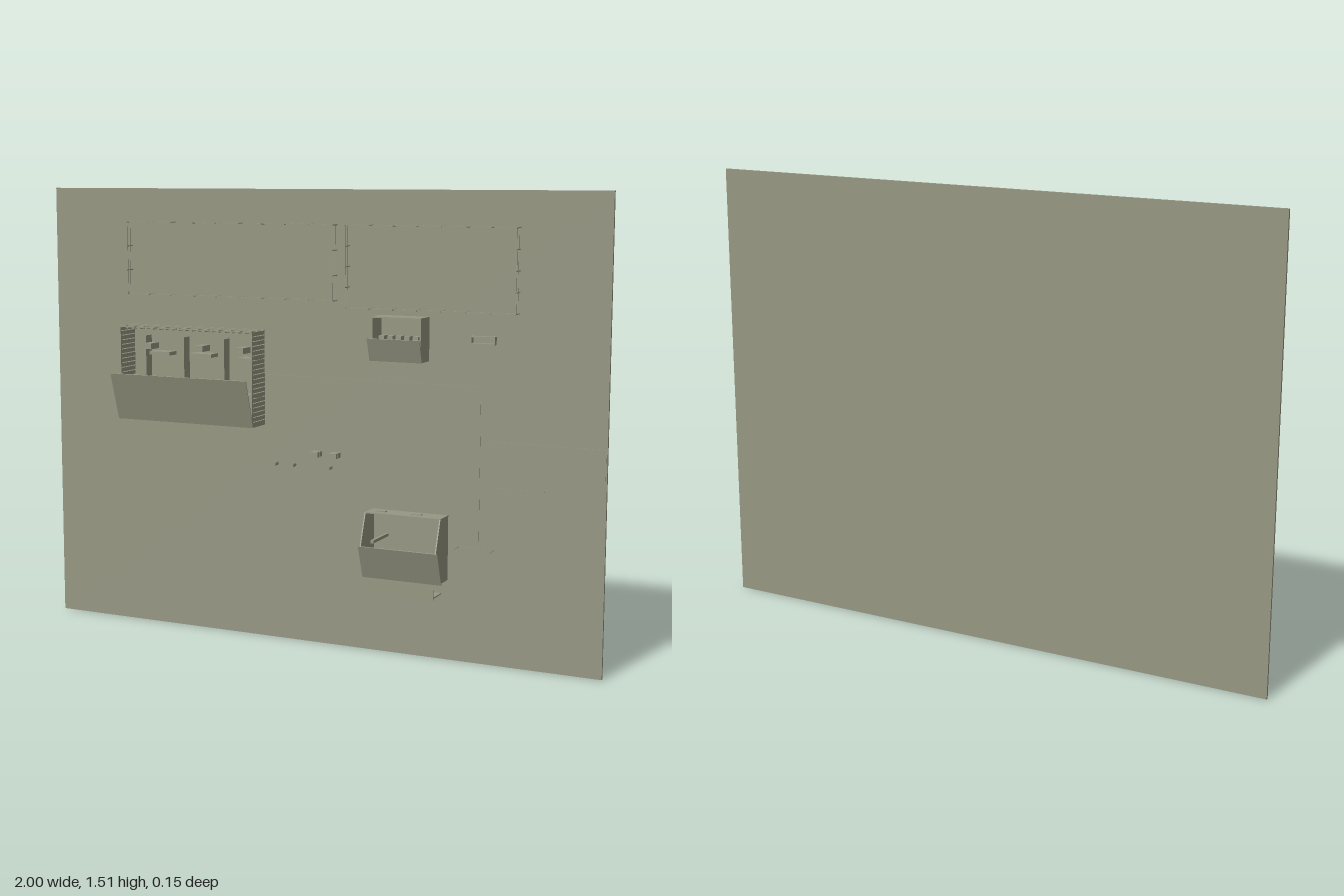
import * as THREE from 'three';

const BACK = -0.068; // front surface of the backing board

export function createModel() {
  const model = new THREE.Group();
  const mat = new THREE.MeshStandardMaterial({ color: 0x969782 });
  mat.name = 'olive grey';

  const group = (name) => {
    const g = new THREE.Group();
    g.name = name;
    model.add(g);
    return g;
  };
  const add = (parent, name, geometry) => {
    const m = new THREE.Mesh(geometry, mat);
    m.name = name;
    parent.add(m);
    return m;
  };
  // box given by its limits
  const box = (parent, name, x0, x1, y0, y1, z0, z1) => {
    const m = add(parent, name, new THREE.BoxGeometry(x1 - x0, y1 - y0, z1 - z0));
    m.position.set((x0 + x1) / 2, (y0 + y1) / 2, (z0 + z1) / 2);
    return m;
  };
  // flat door tilted forward from its lower edge
  const flap = (parent, x0, x1, y0, z0, y1, z1) => {
    const m = add(parent, 'openFlap',
      new THREE.BoxGeometry(x1 - x0, Math.hypot(y1 - y0, z1 - z0), 0.003));
    m.position.set((x0 + x1) / 2, (y0 + y1) / 2, (z0 + z1) / 2);
    m.rotation.x = Math.atan2(z1 - z0, y1 - y0);
  };
  // round peg standing out from the board
  const peg = (parent, name, x, y, z0, z1, r, sides = 8) => {
    const g = new THREE.CylinderGeometry(r, r, z1 - z0, sides).rotateX(Math.PI / 2);
    add(parent, name, g).position.set(x, y, (z0 + z1) / 2);
  };

  // backing board
  box(model, 'backingBoard', -1, 1, 0, 1.515, -0.077, BACK);

  // two wire loops carried on insulator pins
  const wireLoop = (name, x0, x1, y0, y1, nx, ny) => {
    const g = group(name);
    const t = 0.0012;
    for (const z of [-0.035, -0.051]) {
      for (const y of [y0, y1]) box(g, 'wire', x0, x1, y - t, y + t, z - t, z + t);
      for (const x of [x0, x1]) box(g, 'wire', x - t, x + t, y0, y1, z - t, z + t);
    }
    for (let i = 0; i <= nx; i++) {
      const x = x0 + (x1 - x0) * i / nx;
      for (const y of [y0, y1]) peg(g, 'pin', x, y, BACK, -0.029, 0.0025, 6);
    }
    for (let i = 1; i < ny; i++) {
      const y = y0 + (y1 - y0) * i / ny;
      for (const x of [x0, x1]) peg(g, 'pin', x, y, BACK, -0.029, 0.0025, 6);
    }
  };
  wireLoop('leftWireLoop', -0.69, 0.085, 1.157, 1.402, 9, 3);
  wireLoop('rightWireLoop', 0.13, 0.708, 1.136, 1.402, 7, 4);

  // large cabinet: slatted sides, barred top, open flap
  const big = group('largeCabinet');
  box(big, 'floor', -0.69, -0.18, 0.73, 0.734, BACK, 0.024);
  for (const x of [-0.69, -0.184]) {
    for (let i = 0; i < 20; i++) {
      const y = 0.734 + i * 0.0158;
      box(big, 'sideSlat', x, x + 0.004, y, y + 0.013, BACK, 0.024);
    }
    box(big, 'cornerPost', x, x + 0.004, 0.73, 1.05, 0.018, 0.024);
  }
  for (let i = 0; i <= 20; i++) {
    const x = -0.69 + i * 0.0252;
    box(big, 'topBar', x, x + 0.006, 1.042, 1.046, BACK, 0.022);
  }
  for (const z of [BACK, -0.03, 0.02]) {
    box(big, 'topRail', -0.69, -0.18, 1.046, 1.05, z, z + 0.006);
  }
  for (const x of [-0.62, -0.47, -0.315]) {
    box(big, 'divider', x - 0.0015, x + 0.0015, 0.734, 1.015, BACK, -0.03);
  }
  for (const [nub, x0, x1, y] of [
    [-0.603, -0.6, -0.52, 0.957], [-0.403, -0.44, -0.358, 0.957], [-0.247, -0.258, -0.188, 0.95],
  ]) {
    box(big, 'switchBlock', nub - 0.014, nub + 0.014, 0.97, 0.99, BACK, -0.015);
    box(big, 'bracket', x0, x1, y - 0.006, y + 0.006, BACK, -0.02);
    box(big, 'lowerBracket', x0, x1, 0.82, 0.832, BACK, -0.02);
  }
  flap(big, -0.697, -0.176, 0.731, 0.025, 0.892, 0.075);

  // small cabinet with a row of fuses
  const small = group('smallCabinet');
  box(small, 'top', 0.24, 0.41, 1.111, 1.115, BACK, 0.005);
  box(small, 'floor', 0.24, 0.41, 0.973, 0.977, BACK, 0.005);
  box(small, 'leftWall', 0.406, 0.41, 0.973, 1.115, BACK, 0.005);
  box(small, 'rightWall', 0.24, 0.244, 0.973, 1.115, BACK, 0.005);
  box(small, 'fusePanel', 0.244, 0.406, 0.977, 1.05, BACK, -0.045);
  for (let i = 0; i < 5; i++) {
    for (const y of [1.01, 1.04]) {
      box(small, 'fuse', 0.258 + i * 0.029, 0.276 + i * 0.029, y, y + 0.014, -0.045, -0.015);
    }
  }
  flap(small, 0.235, 0.415, 0.974, 0.006, 1.047, 0.029);

  // lower cabinet with peaked side walls
  const low = group('lowerCabinet');
  const side = new THREE.Shape([
    [BACK, 0.265], [0, 0.265], [0.038, 0.372], [0, 0.478], [BACK, 0.478],
  ].map(([z, y]) => new THREE.Vector2(z, y)));
  for (const x of [0.222, 0.482]) {
    const g = new THREE.ExtrudeGeometry(side, { depth: 0.004, bevelEnabled: false });
    add(low, 'peakedSideWall', g.rotateY(-Math.PI / 2)).position.x = x;
  }
  box(low, 'top', 0.218, 0.482, 0.474, 0.478, BACK, 0);
  box(low, 'floor', 0.218, 0.482, 0.265, 0.269, BACK, 0);
  for (const x of [0.245, 0.37]) {
    box(low, 'topSlot', x, x + 0.035, 0.478, 0.481, -0.04, -0.025);
  }
  flap(low, 0.213, 0.488, 0.263, 0.002, 0.372, 0.04);
  box(low, 'handleStalk', 0.264, 0.274, 0.39, 0.4, BACK, 0.055);
  box(low, 'hangingApron', 0.225, 0.46, 0.21, 0.265, -0.003, 0);
  box(low, 'apronShelf', 0.225, 0.46, 0.215, 0.219, BACK, 0);

  // hollow rectangular socket
  const socket = group('socketFrame');
  for (const y of [1.035, 1.057]) box(socket, 'longEdge', 0.555, 0.636, y, y + 0.004, BACK, -0.05);
  for (const x of [0.555, 0.632]) box(socket, 'shortEdge', x, x + 0.004, 1.035, 1.061, BACK, -0.05);

  // buttons and switch blocks in the middle
  const controls = group('controls');
  for (const x of [-0.136, -0.07, 0.064]) peg(controls, 'button', x, 0.603, BACK, -0.045, 0.008);
  for (const x of [0.003, 0.07]) {
    box(controls, 'switchBase', x, x + 0.03, 0.638, 0.655, BACK, -0.05);
    box(controls, 'switchCap', x, x + 0.03, 0.638, 0.655, -0.046, -0.032);
  }

  // thin cables lying on the board
  const cables = group('cables');
  const cable = (x0, x1, y0, y1) =>
    box(cables, 'cable', x0 - 0.001, x1 + 0.001, y0 - 0.001, y1 + 0.001, BACK, BACK + 0.0015);
  cable(0.586, 0.586, 0.386, 0.9);
  cable(-0.18, 0.586, 0.9, 0.9);
  cable(0.62, 0.995, 0.727, 0.727);
  cable(0.995, 0.995, 0.61, 0.727);
  cable(0.62, 0.8, 0.58, 0.58);
  cable(0.484, 0.64, 0.38, 0.38);
  for (const x of [0.52, 0.64]) peg(cables, 'cablePin', x, 0.38, BACK, -0.02, 0.0015, 6);

  return model;
}
